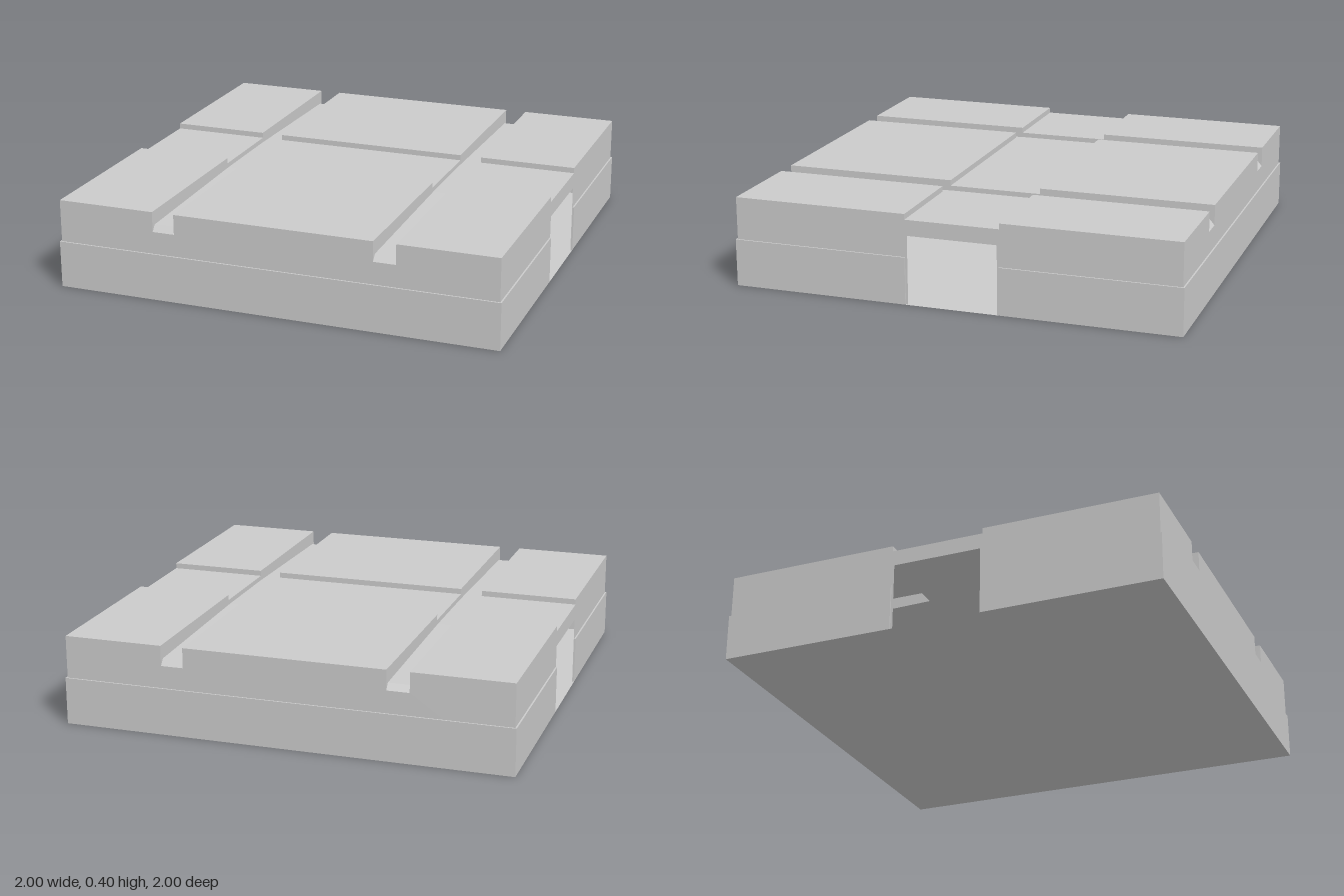
import * as THREE from 'three';

const OUT = 1, INN = 0.993;            // lower band and inset upper body half sizes
const BAND = 0.21, TOP = 0.4;          // heights of lower band and top plates
const TRENCH = 0.21, TRENCH_Y = 0.375; // cross trench
const TUNNEL = 0.2, TUNNEL_Y = 0.305;  // opening through the sides
const G0 = 0.45, G1 = 0.55;            // groove edges in x

export function createModel() {
  const group = new THREE.Group();
  const mat = new THREE.MeshStandardMaterial({ color: 0xcccccc, side: THREE.DoubleSide, flatShading: true });
  const add = (name, geo) => {
    const m = new THREE.Mesh(geo, mat);
    m.name = name;
    group.add(m);
    return m;
  };
  const poly = pts => new THREE.Shape(pts.map(p => new THREE.Vector2(...p)));

  // sweeps a (z, y) profile straight along x
  const ribbon = (profile, x0, x1) => {
    const pos = [];
    for (let i = 0; i < profile.length - 1; i++) {
      const [za, ya] = profile[i], [zb, yb] = profile[i + 1];
      const a = [x0, ya, za], b = [x1, ya, za], c = [x1, yb, zb], d = [x0, yb, zb];
      pos.push(...a, ...b, ...c, ...a, ...c, ...d);
    }
    const g = new THREE.BufferGeometry();
    g.setAttribute('position', new THREE.Float32BufferAttribute(pos, 3));
    g.computeVertexNormals();
    return g;
  };
  const mirrored = half => [...half, ...half.slice().reverse().map(([z, y]) => [-z, y])];

  const topProfile = mirrored([[INN, TOP], [TRENCH, TOP], [TRENCH, TRENCH_Y]]);
  const grooveProfile = mirrored([[INN, 0.31], [0.97, 0.337], [TUNNEL, 0.353]]);

  // top plates with the cross trench, in three columns
  for (const [x0, x1] of [[-INN, -G1], [-G0, G0], [G1, INN]]) add('topPlate', ribbon(topProfile, x0, x1));

  // two long grooves with sloped ends
  const wall = poly([...topProfile, ...grooveProfile.slice().reverse()]);
  for (const s of [-1, 1]) {
    add('grooveFloor', ribbon(grooveProfile, s * 0.5 - 0.05, s * 0.5 + 0.05));
    for (const [x, turn] of [[s * 0.5 - 0.05, 1], [s * 0.5 + 0.05, -1]]) {
      const m = add('grooveWall', new THREE.ShapeGeometry(wall));
      m.rotation.y = turn * Math.PI / 2;
      m.position.x = x;
    }
  }

  // end panels, notched where the grooves run out
  const endShape = poly([
    [-INN, 0], [INN, 0], [INN, TOP], [G1, TOP], [G1, 0.31], [G0, 0.31], [G0, TOP],
    [-G0, TOP], [-G0, 0.31], [-G1, 0.31], [-G1, TOP], [-INN, TOP]
  ]);
  // side panels with the tunnel opening
  const sideShape = poly([
    [-INN, 0], [-TUNNEL, 0], [-TUNNEL, TUNNEL_Y], [TUNNEL, TUNNEL_Y], [TUNNEL, 0], [INN, 0],
    ...topProfile
  ]);
  // lower band: thin C-shaped shell round each half
  const bandShape = poly([
    [-OUT, -TRENCH], [-OUT, -OUT], [OUT, -OUT], [OUT, -TRENCH],
    [INN, -TRENCH], [INN, -INN], [-INN, -INN], [-INN, -TRENCH]
  ]);
  const bandGeo = new THREE.ExtrudeGeometry(bandShape, { depth: BAND, bevelEnabled: false });
  bandGeo.rotateX(-Math.PI / 2);

  for (const s of [1, -1]) {
    const turn = s > 0 ? 0 : Math.PI;
    const end = add('endPanel', new THREE.ShapeGeometry(endShape));
    end.rotation.y = turn;
    end.position.z = s * INN;
    const side = add('sidePanel', new THREE.ShapeGeometry(sideShape));
    side.rotation.y = s * Math.PI / 2;
    side.position.x = s * INN;
    add('lowerBand', bandGeo).rotation.y = turn;
  }

  // tunnel ceiling and the bottom sheet, both facing down
  add('tunnelCeiling', ribbon([[-TUNNEL, TUNNEL_Y], [TUNNEL, TUNNEL_Y]], -INN, INN));
  add('bottom', ribbon([[-OUT, 0], [OUT, 0]], -OUT, OUT));

  return group;
}
